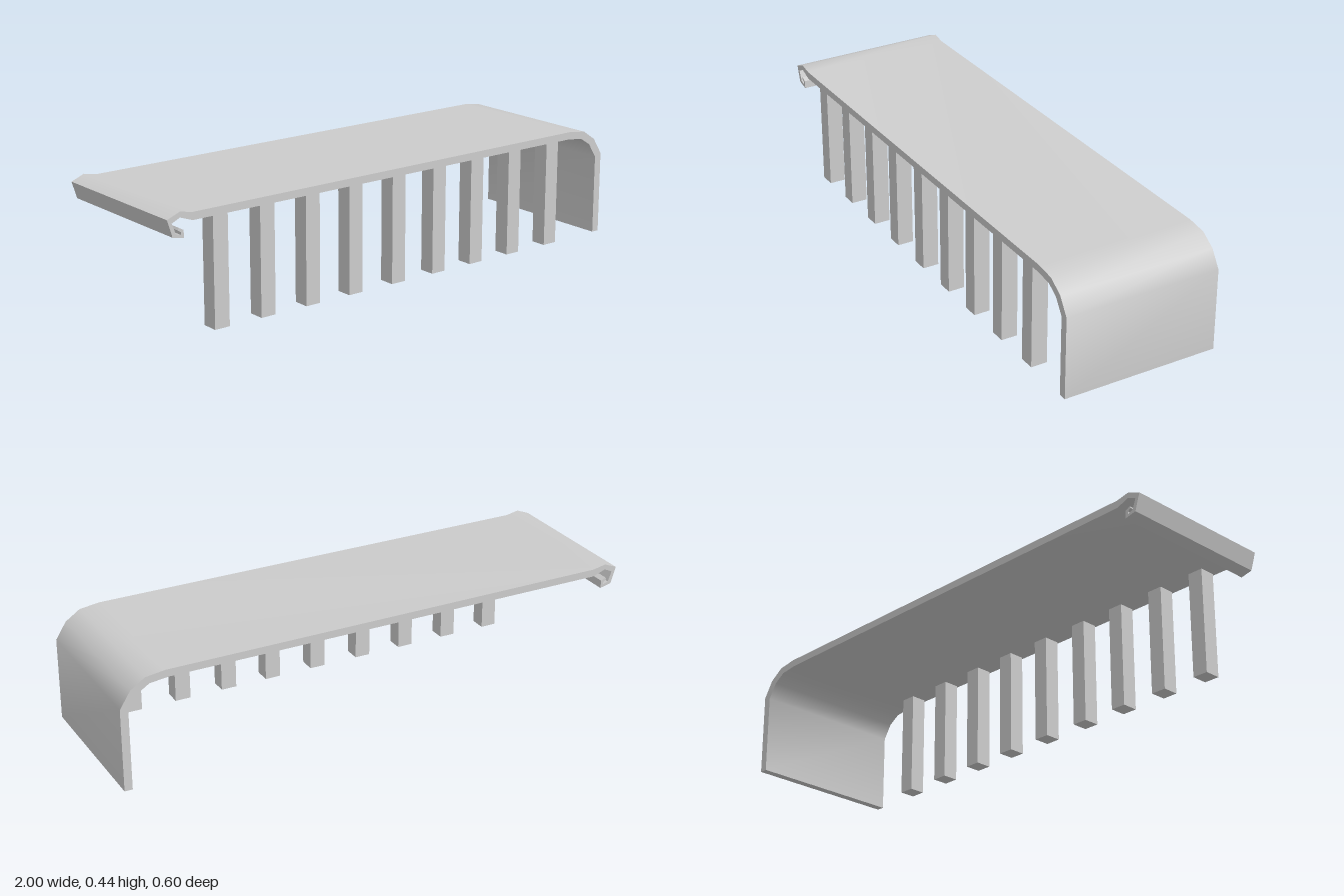
import * as THREE from 'three';
import { toCreasedNormals } from 'three/addons/utils/BufferGeometryUtils.js';

const DEPTH = 0.6;

export function createModel() {
  const group = new THREE.Group();
  const material = new THREE.MeshStandardMaterial({ color: 0xcccccc });

  // Side profile, extruded along z
  const extrude = (name, points) => {
    const shape = new THREE.Shape(points.map(([x, y]) => new THREE.Vector2(x, y)));
    const geometry = new THREE.ExtrudeGeometry(shape, { depth: DEPTH, bevelEnabled: false });
    geometry.translate(0, 0, -DEPTH / 2);
    const mesh = new THREE.Mesh(toCreasedNormals(geometry, 0.7), material);
    mesh.name = name;
    group.add(mesh);
  };

  // Bent sheet: drop panel, rounded corner, flat top, raised lip and hooked edge
  extrude('bentTop', [
    // outer face, from the foot of the drop panel to the lip
    [1, 0.007], [1, 0.32], [0.96, 0.383], [0.905, 0.42], [0.83, 0.43],
    [-0.9, 0.43], [-0.95, 0.44], [-1, 0.42],
    // hook
    [-0.98, 0.357], [-0.935, 0.347], [-0.937, 0.376], [-0.955, 0.386],
    [-0.96, 0.378], [-0.947, 0.37], [-0.947, 0.36], [-0.967, 0.367], [-0.982, 0.405],
    // inner face, back to the foot
    [-0.95, 0.42], [-0.9, 0.402], [0.82, 0.402], [0.89, 0.394],
    [0.935, 0.365], [0.97, 0.31], [0.97, 0.007],
  ]);

  // Row of square legs along the front edge
  const legHeight = 0.405;
  const legGeometry = new THREE.BoxGeometry(0.06, legHeight, 0.062);
  [-0.785, -0.593, -0.4, -0.21, -0.013, 0.178, 0.362, 0.55, 0.745].forEach((x, i) => {
    const leg = new THREE.Mesh(legGeometry, material);
    leg.name = `leg${i + 1}`;
    leg.position.set(x, legHeight / 2, 0.26);
    group.add(leg);
  });

  return group;
}
